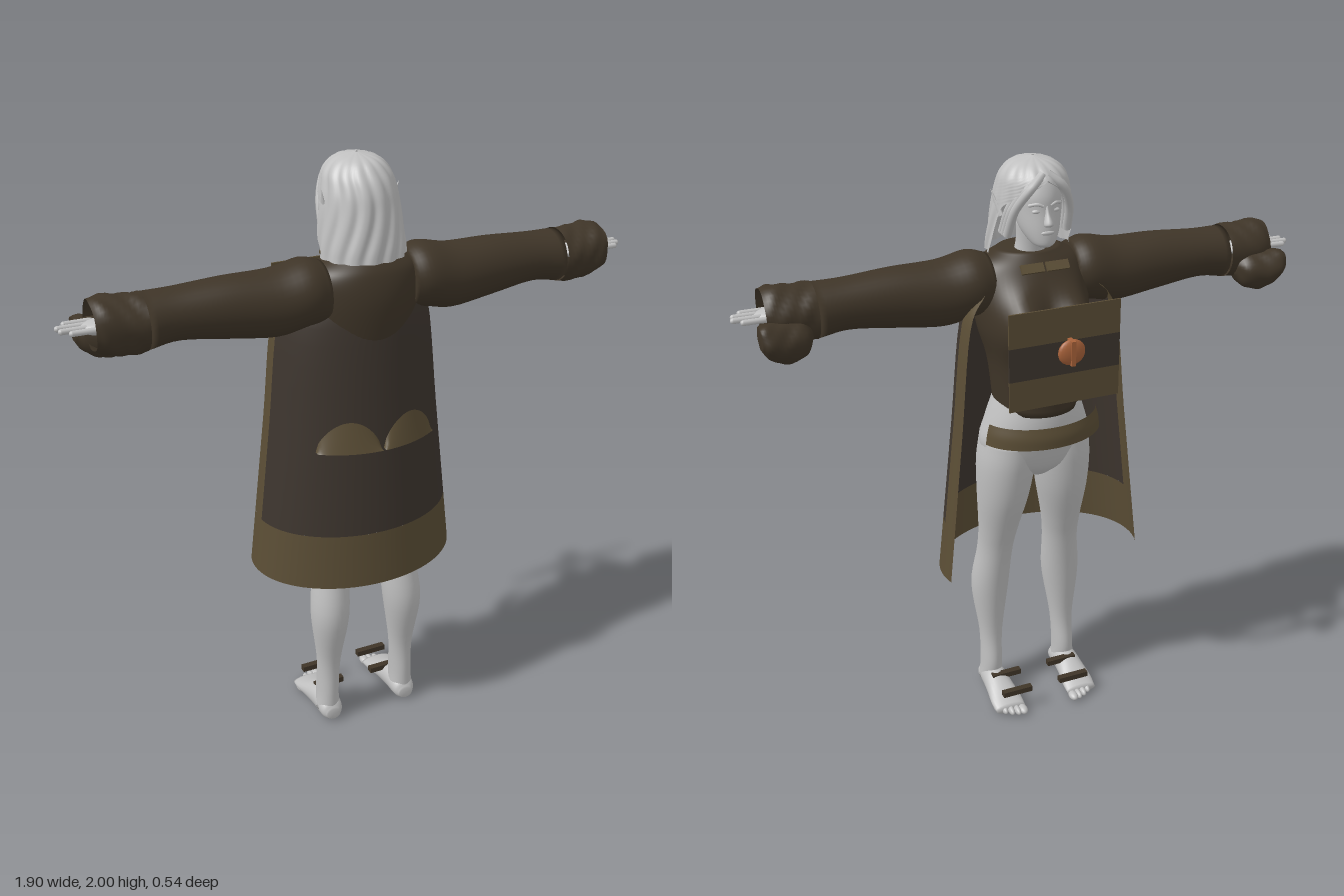
import * as THREE from 'three';

const mat = (name, color) => new THREE.MeshStandardMaterial({ name, color, side: THREE.DoubleSide });
const RAD = Math.PI / 180;

// Smooth loft through sections [height, cx, cz, rx, rz, halfArcInDegrees?]; angle 0 points to +z
function loft(sections, { n = 32, sub = 5, axis = 'y', t0, t1, shape, cap = true } = {}) {
  const size = sections[0].length, open = size > 5 || t0 !== undefined;
  const curve = new THREE.CubicInterpolant(sections.map((_, i) => i), sections.flat(), size);
  const rows = (sections.length - 1) * sub, cols = open ? n + 1 : n, pos = [], idx = [];
  for (let i = 0; i <= rows; i++) {
    const [y, cx, cz, rx, rz, arc] = [...curve.evaluate(i / sub)];
    const from = t0 ?? -(arc ?? 180), to = t1 ?? (arc ?? 180);
    for (let j = 0; j < cols; j++) {
      const t = (from + (to - from) * j / n) * RAD;
      const p = new THREE.Vector3(cx + rx * Math.sin(t), y, cz + rz * Math.cos(t));
      if (shape) shape(p, t, cx, cz);
      pos.push(p.x, p.y, p.z);
    }
  }
  for (let i = 0; i < rows; i++) for (let j = 0; j < n; j++) {
    const a = i * cols + j, b = i * cols + (j + 1) % cols, c = b + cols, d = a + cols;
    idx.push(a, b, c, a, c, d);
  }
  if (!open && cap) [0, rows].forEach((r, k) => {
    const s = sections[k ? sections.length - 1 : 0], m = pos.length / 3;
    pos.push(s[1], s[0], s[2]);
    for (let j = 0; j < n; j++) {
      const a = r * cols + j, b = r * cols + (j + 1) % cols;
      idx.push(...(k ? [a, b, m] : [b, a, m]));
    }
  });
  // cyclic swaps turn the loft along x or z
  for (let i = 0; i < pos.length; i += 3) {
    const [x, y, z] = pos.slice(i, i + 3);
    if (axis === 'x') { pos[i] = y; pos[i + 1] = z; pos[i + 2] = x; }
    if (axis === 'z') { pos[i] = z; pos[i + 1] = x; pos[i + 2] = y; }
  }
  const g = new THREE.BufferGeometry();
  g.setAttribute('position', new THREE.Float32BufferAttribute(pos, 3));
  g.setIndex(idx);
  g.computeVertexNormals();
  return g;
}

function mirror(geo) {
  const g = geo.clone().scale(-1, 1, 1), ix = g.index.array;
  for (let i = 0; i < ix.length; i += 3) [ix[i], ix[i + 1]] = [ix[i + 1], ix[i]];
  g.computeVertexNormals();
  return g;
}

const ball = (x, y, z, rx, ry, rz) => new THREE.SphereGeometry(1, 20, 14).scale(rx, ry, rz).translate(x, y, z);
const box = (w, h, d, x, y, z) => new THREE.BoxGeometry(w, h, d).translate(x, y, z);
const tube = (pts, r) => new THREE.TubeGeometry(
  new THREE.CatmullRomCurve3(pts.map(p => new THREE.Vector3(...p))), 14, r, 8);

export function createModel() {
  const group = new THREE.Group();
  const skin = mat('pale grey', 0xc0c0c0), jacket = mat('dark brown', 0x3f3528);
  const cloth = mat('coat brown', 0x3d352e), olive = mat('olive trim', 0x5a4d35);
  const copper = mat('copper', 0xa8623a);
  const add = (name, geo, m) => {
    const mesh = new THREE.Mesh(geo, m);
    mesh.name = name;
    group.add(mesh);
    return mesh;
  };
  const pair = (name, geo, m) => { add(name + 'Left', geo, m); add(name + 'Right', mirror(geo), m); };

  // Legs, feet and hips
  pair('leg', loft([
    [0.04, 0.145, 0.12, 0.042, 0.045], [0.12, 0.143, 0.115, 0.038, 0.05], [0.25, 0.14, 0.122, 0.042, 0.045],
    [0.44, 0.137, 0.13, 0.066, 0.07], [0.6, 0.125, 0.105, 0.062, 0.068], [0.7, 0.118, 0.085, 0.068, 0.075],
    [0.85, 0.108, 0.06, 0.088, 0.1], [0.98, 0.1, 0.05, 0.098, 0.115], [1.08, 0.09, 0.045, 0.095, 0.115]]), skin);
  pair('foot', loft([
    [0.172, 0.032, 0.143, 0.02, 0.025], [0.15, 0.042, 0.143, 0.038, 0.04], [0.09, 0.05, 0.143, 0.048, 0.045],
    [0.03, 0.042, 0.143, 0.04, 0.05], [-0.03, 0.028, 0.142, 0.026, 0.057], [-0.075, 0.018, 0.14, 0.016, 0.055]],
    { axis: 'z', n: 24 }), skin);
  for (let i = 0; i < 5; i++)
    pair('toe', ball(0.1 + i * 0.021, 0.015, -0.09 + i * i * 0.0028, i ? 0.011 : 0.016, 0.014, 0.026), skin);
  add('hips', loft([[0.93, 0, 0.055, 0.06, 0.07], [0.98, 0, 0.05, 0.16, 0.11], [1.06, 0, 0.045, 0.19, 0.135],
    [1.14, 0, 0.035, 0.17, 0.145], [1.24, 0, 0.03, 0.135, 0.135]]), skin);
  for (const z of [-0.06, 0.05]) pair('footStrap', box(0.11, 0.02, 0.022, 0.11, 0.08, z), jacket);

  // Fitted jacket with shaped chest
  add('jacket', loft([[1.19, 0, 0.03, 0.14, 0.145], [1.35, 0, 0.037, 0.155, 0.16], [1.47, 0, 0.052, 0.185, 0.165],
    [1.58, 0, 0.075, 0.19, 0.148], [1.66, 0, 0.09, 0.175, 0.115], [1.705, 0, 0.09, 0.1, 0.08]], {
    n: 64, sub: 8,
    shape: (p) => {
      if (p.z < 0) p.z -= 0.085 * Math.min(1, -p.z / 0.05) *
        Math.exp(-(((Math.abs(p.x) - 0.095) / 0.062) ** 2) - ((p.y - 1.5) / 0.085) ** 2);
    } }), jacket);
  pair('collarFlap', box(0.075, 0.03, 0.009, 0.042, 0, 0).rotateX(0.7).translate(0, 1.675, -0.05), olive);

  // Sleeves, cuffs and gathered glove folds
  pair('sleeve', loft([[0.14, 0.09, 1.6, 0.095, 0.095], [0.2, 0.09, 1.605, 0.11, 0.105], [0.3, 0.09, 1.587, 0.102, 0.105],
    [0.45, 0.088, 1.595, 0.09, 0.095], [0.6, 0.084, 1.6, 0.083, 0.08], [0.695, 0.085, 1.593, 0.088, 0.086]],
    { axis: 'x' }), jacket);
  const crumple = (p, t, cx, cz) => {
    const k = 1 + 0.05 * Math.sin(5 * t + p.y * 70) * Math.sin(p.y * 45);
    p.x = cx + (p.x - cx) * k;
    p.z = cz + (p.z - cz) * k;
  };
  pair('cuff', loft([[0.7, 0.085, 1.593, 0.091, 0.088], [0.76, 0.085, 1.592, 0.09, 0.09], [0.82, 0.088, 1.6, 0.088, 0.088],
    [0.855, 0.09, 1.605, 0.078, 0.075]], { axis: 'x', cap: false, shape: crumple }), jacket);
  pair('gloveFold', loft([[0.72, 0.03, 1.55, 0.02, 0.02], [0.75, 0.02, 1.54, 0.058, 0.055], [0.81, 0.01, 1.535, 0.062, 0.064],
    [0.86, -0.002, 1.55, 0.055, 0.055], [0.885, -0.01, 1.565, 0.035, 0.035]], { axis: 'x', shape: crumple }), jacket);
  pair('palm', ball(0.8, 1.597, 0.083, 0.085, 0.024, 0.048), skin);
  [0.04, 0.067, 0.094, 0.12].forEach((z, i) => {
    const tip = [0.925, 0.95, 0.945, 0.92][i];
    pair('finger', new THREE.CapsuleGeometry(0.0095, tip - 0.85, 4, 8).rotateZ(Math.PI / 2)
      .translate((tip + 0.835) / 2, 1.602, z), skin);
  });
  pair('thumb', tube([[0.77, 1.59, 0.05], [0.81, 1.58, 0.02], [0.86, 1.58, 0.01]], 0.013), skin);

  // Open long coat: back panel, hem and front edge trim
  const coatAt = y => { const k = (y - 0.61) / 0.89; return [y, 0, 0, 0.355 - 0.1 * k, 0.268 - 0.056 * k]; };
  const body = [coatAt(0.8), coatAt(1.15), coatAt(1.5), [1.6, 0, 0.02, 0.19, 0.165]];
  add('coatPanel', loft(body, { n: 48, t0: -86, t1: 86 }), cloth);
  add('coatHem', loft([coatAt(0.61), coatAt(0.8)], { n: 48, t0: -103, t1: 103 }), olive);
  const trim = loft(body, { n: 6, t0: 86, t1: 103 });
  pair('coatFrontTrim', trim, olive);

  // Rounded flaps on the back of the coat
  const flap = new THREE.PlaneGeometry(1, 1, 24, 6), fp = flap.attributes.position;
  for (let i = 0; i < fp.count; i++) {
    const u = fp.getX(i) + 0.5, v = fp.getY(i) + 0.5;
    const x = 0.004 + 0.2 * u, y = 1.1 + 0.1 * v * Math.pow(Math.max(0, Math.sin(Math.PI * u)), 0.6);
    const [, , , a, b] = coatAt(y);
    fp.setXYZ(i, x, y, b * Math.sqrt(1 - (x / a) ** 2) + 0.006 + 0.018 * (1 - v));
  }
  flap.computeVertexNormals();
  pair('backFlap', flap, olive);

  // Front waistband
  add('waistband', loft([[1.095, 0, 0, 0.21, 0.153], [1.13, 0, 0, 0.205, 0.152], [1.165, 0, 0, 0.195, 0.142]],
    { t0: 105, t1: 255 }), olive);

  // Floating chest panel in three bands with its clasp
  [[1.545, 0.11, olive], [1.435, 0.11, cloth], [1.33, 0.1, olive]].forEach(([y, h, m]) =>
    add('chestPanelBand', box(0.37, h, 0.006, 0, y, -0.205), m));
  add('clasp', ball(0, 1.472, -0.255, 0.045, 0.042, 0.016), copper);
  add('claspBar', box(0.014, 0.08, 0.036, 0, 1.472, -0.255), copper);

  // Head and face
  add('neck', loft([[1.64, 0, 0.085, 0.065, 0.06], [1.72, 0, 0.065, 0.048, 0.05], [1.8, 0, 0.05, 0.05, 0.055]]), skin);
  add('head', loft([[1.742, 0, -0.045, 0.02, 0.02], [1.755, 0, -0.03, 0.04, 0.045], [1.795, 0, 0, 0.062, 0.075],
    [1.85, 0, 0.02, 0.074, 0.088], [1.9, 0, 0.03, 0.077, 0.094], [1.95, 0, 0.04, 0.066, 0.08],
    [1.98, 0, 0.04, 0.03, 0.04]]), skin);
  add('nose', loft([[1.812, 0, -0.075, 0.013, 0.012], [1.822, 0, -0.077, 0.014, 0.018], [1.85, 0, -0.066, 0.007, 0.012],
    [1.875, 0, -0.058, 0.006, 0.008]], { n: 14 }), skin);
  add('lips', ball(0, 1.79, -0.07, 0.022, 0.008, 0.009), skin);
  pair('eye', ball(0.03, 1.855, -0.055, 0.015, 0.007, 0.009), skin);
  pair('brow', tube([[0.012, 1.872, -0.064], [0.03, 1.878, -0.06], [0.052, 1.872, -0.044]], 0.005), skin);
  pair('ear', new THREE.ConeGeometry(0.024, 0.09, 10).scale(0.4, 1, 1).rotateX(0.35).rotateZ(-0.25)
    .translate(0.118, 1.865, 0.06), skin);

  // Shoulder-length hair with ridged strands and swept fringe
  add('hair', loft([[1.7, 0, 0.085, 0.14, 0.128, 95], [1.75, 0, 0.075, 0.137, 0.135, 100], [1.85, 0, 0.06, 0.124, 0.138, 106],
    [1.905, 0, 0.052, 0.114, 0.135, 140], [1.95, 0, 0.045, 0.1, 0.118, 180], [1.985, 0, 0.045, 0.064, 0.078, 180],
    [2, 0, 0.045, 0.004, 0.004, 180]], {
    n: 120,
    shape: (p, t, cx, cz) => {
      const k = 1 - 0.055 * Math.abs(Math.sin(7 * t + 1.2 * Math.sin(p.y * 16))) ** 3;
      p.x = cx + (p.x - cx) * k;
      p.z = cz + (p.z - cz) * k;
    } }), skin);
  for (let i = 0; i < 3; i++)
    pair('fringeLock', tube([[0.008, 1.965 - i * 0.012, -0.05 + i * 0.01], [0.05, 1.93, -0.064 + i * 0.015],
      [0.088, 1.86, -0.03 + i * 0.02], [0.1, 1.77, 0.012 + i * 0.02]], 0.014), skin);
  return group;
}
